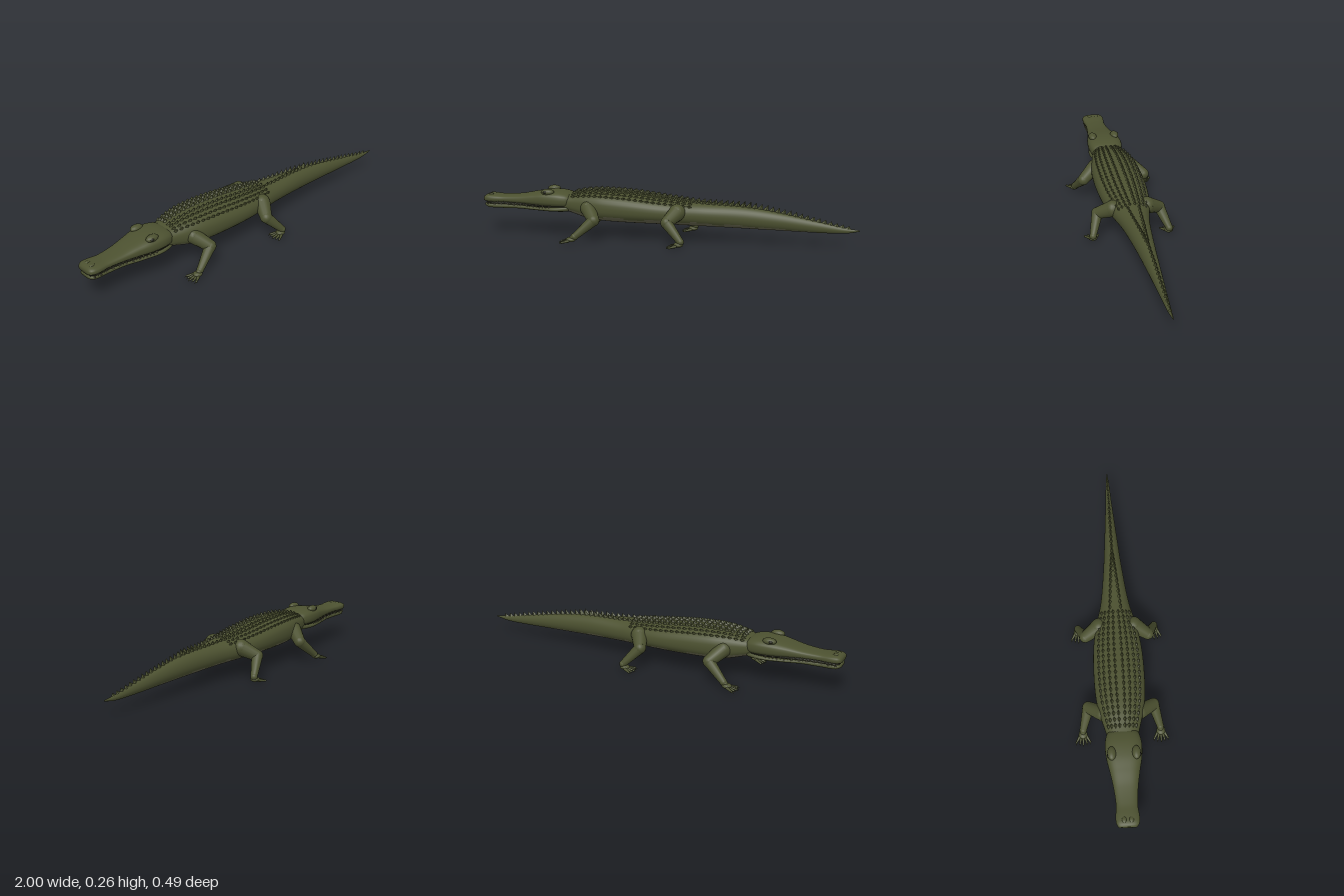
import * as THREE from 'three';
import { mergeGeometries } from 'three/addons/utils/BufferGeometryUtils.js';

const mat = (name, color) => {
  const m = new THREE.MeshStandardMaterial({ color });
  m.name = name;
  return m;
};

// Smooth interpolation through sections [x, bottom, top, halfWidth]
function sample(sections, x) {
  let i = 0;
  while (i < sections.length - 2 && x > sections[i + 1][0]) i++;
  const at = (k) => sections[Math.min(Math.max(k, 0), sections.length - 1)];
  const a = at(i), b = at(i + 1), p = at(i - 1), n = at(i + 2);
  const span = b[0] - a[0], t = Math.min(Math.max((x - a[0]) / span, 0), 1);
  const [, bottom, top, width] = a.map((v, k) => {
    const m0 = (b[k] - p[k]) / (b[0] - p[0]) * span;
    const m1 = (n[k] - a[k]) / (n[0] - a[0]) * span;
    const t2 = t * t, t3 = t2 * t;
    return (2 * t3 - 3 * t2 + 1) * v + (t3 - 2 * t2 + t) * m0 + (3 * t2 - 2 * t3) * b[k] + (t3 - t2) * m1;
  });
  return { bottom, top, width };
}

// Lofted skin along x; faces where under(x, angle) holds take the second material
function loft(sections, steps, sides, power, under = () => false) {
  const pos = [], main = [], second = [];
  const x0 = sections[0][0], x1 = sections[sections.length - 1][0];
  const pw = (v, p) => Math.sign(v) * Math.abs(v) ** p;
  for (let i = 0; i <= steps; i++) {
    const x = x0 + (x1 - x0) * i / steps, s = sample(sections, x), p = power(x);
    for (let j = 0; j < sides; j++) {
      const a = j / sides * Math.PI * 2;
      pos.push(x, (s.top + s.bottom) / 2 + (s.top - s.bottom) / 2 * pw(Math.sin(a), p), s.width * pw(Math.cos(a), p));
    }
  }
  for (let i = 0; i < steps; i++) for (let j = 0; j < sides; j++) {
    const k = (j + 1) % sides, a = i * sides + j, b = i * sides + k, c = a + sides, d = b + sides;
    const list = under(x0 + (x1 - x0) * (i + 0.5) / steps, (j + 0.5) / sides * Math.PI * 2) ? second : main;
    list.push(a, c, b, b, c, d);
  }
  // End caps
  [0, steps].forEach((ring, e) => {
    const s = sample(sections, e ? x1 : x0), centre = pos.length / 3;
    pos.push(e ? x1 : x0, (s.top + s.bottom) / 2, 0);
    for (let j = 0; j < sides; j++) {
      const a = ring * sides + j, b = ring * sides + (j + 1) % sides;
      main.push(...(e ? [centre, b, a] : [centre, a, b]));
    }
  });
  const g = new THREE.BufferGeometry();
  g.setAttribute('position', new THREE.Float32BufferAttribute(pos, 3));
  g.setIndex([...main, ...second]);
  g.addGroup(0, main.length, 0);
  g.addGroup(main.length, second.length, 1);
  g.computeVertexNormals();
  return g;
}

// Tapered limb between two points
function limb(a, b, ra, rb, sides = 14) {
  const A = new THREE.Vector3(...a), B = new THREE.Vector3(...b), dir = B.clone().sub(A);
  const g = new THREE.CylinderGeometry(rb, ra, dir.length(), sides, 1);
  g.applyQuaternion(new THREE.Quaternion().setFromUnitVectors(new THREE.Vector3(0, 1, 0), dir.normalize()));
  return g.translate(...A.add(B).multiplyScalar(0.5).toArray());
}
const ball = (c, rx, ry = rx, rz = rx) => new THREE.SphereGeometry(1, 16, 12).scale(rx, ry, rz).translate(...c);

const BODY = [
  [-0.57, 0.14, 0.222, 0.07], [-0.5, 0.122, 0.232, 0.088], [-0.42, 0.1, 0.246, 0.11], [-0.33, 0.09, 0.25, 0.126],
  [-0.2, 0.086, 0.245, 0.131], [-0.05, 0.085, 0.23, 0.125], [0.08, 0.083, 0.216, 0.104], [0.2, 0.08, 0.205, 0.075],
  [0.4, 0.076, 0.192, 0.05], [0.6, 0.073, 0.164, 0.033], [0.8, 0.07, 0.126, 0.018], [0.93, 0.073, 0.1, 0.009], [1, 0.086, 0.092, 0.002],
];
const UPPER_JAW = [
  [-1, 0.17, 0.197, 0.044], [-0.985, 0.165, 0.206, 0.056], [-0.95, 0.163, 0.207, 0.06], [-0.89, 0.164, 0.204, 0.054],
  [-0.8, 0.162, 0.211, 0.062], [-0.72, 0.157, 0.226, 0.076], [-0.65, 0.152, 0.238, 0.09],
  [-0.58, 0.15, 0.24, 0.093], [-0.53, 0.152, 0.231, 0.083], [-0.51, 0.16, 0.22, 0.07],
];
const LOWER_JAW = [
  [-0.995, 0.143, 0.16, 0.036], [-0.975, 0.134, 0.163, 0.05], [-0.89, 0.132, 0.163, 0.05], [-0.8, 0.134, 0.162, 0.057],
  [-0.7, 0.132, 0.158, 0.075], [-0.6, 0.13, 0.162, 0.09], [-0.53, 0.131, 0.17, 0.08], [-0.51, 0.14, 0.17, 0.068],
];

export function createModel() {
  const model = new THREE.Group();
  const hide = mat('olive hide', 0x4c5130), belly = mat('pale belly', 0x62614a);
  const dark = mat('dark eye', 0x1c1d12);
  const add = (name, geo, material, parent = model) => {
    const m = new THREE.Mesh(Array.isArray(geo) ? mergeGeometries(geo) : geo, material);
    m.name = name;
    parent.add(m);
  };

  // Body and tail with pale underside
  const bodyPower = (x) => THREE.MathUtils.clamp(0.86 + (x + 0.1) * 0.25, 0.8, 1.1);
  const under = (x, a) => x < 0.75 && -Math.sin(a) > 0.52 + Math.max(0, x - 0.05) * 0.45 + 0.05 * Math.sin(x * 30);
  add('body and tail', loft(BODY, 100, 40, bodyPower, under), [hide, belly]);

  // Head
  add('upper jaw', loft(UPPER_JAW, 50, 32, () => 0.72), hide);
  add('lower jaw', loft(LOWER_JAW, 50, 32, () => 0.75, (x, a) => Math.sin(a) < -0.75), [hide, belly]);
  add('mouth', loft(LOWER_JAW.map(([x, , , w]) => [x + 0.006, 0.148, 0.172, w * 0.9]), 20, 20, () => 0.8), dark);
  const teeth = [], brows = [], eyes = [], nostrils = [];
  for (const s of [1, -1]) {
    for (let i = 0; i < 20; i++) {
      const x = -0.975 + i * 0.0185, u = sample(UPPER_JAW, x);
      const tooth = new THREE.ConeGeometry(0.005, 0.018, 6);
      if (i % 2) tooth.rotateX(Math.PI);
      teeth.push(tooth.translate(x, u.bottom + (i % 2 ? 0.002 : 0), s * u.width * 0.88));
    }
    brows.push(ball([-0.635, 0.235, s * 0.062], 0.036, 0.018, 0.022));
    eyes.push(ball([-0.645, 0.236, s * 0.077], 0.012, 0.009, 0.009));
    nostrils.push(ball([-0.965, 0.204, s * 0.018], 0.016, 0.007, 0.012));
  }
  add('teeth', teeth, belly);
  add('brows', brows, hide);
  add('eyes', eyes, dark);
  add('nostrils', nostrils, hide);

  // Keeled back plates following the curve of the back
  const scutes = [];
  const plate = (x, z, r, h, lean = 0) => {
    const s = sample(BODY, x), p = bodyPower(x), q = Math.min(Math.abs(z) / s.width, 0.97);
    const y = (s.top + s.bottom) / 2 + (s.top - s.bottom) / 2 * (1 - q ** (2 / p)) ** (p / 2);
    const g = new THREE.ConeGeometry(r, h, 4).translate(0, h / 2 - 0.003, 0).scale(1.3, 1, 0.7);
    g.rotateZ(-lean).rotateX(Math.asin(q) * Math.sign(z) * 0.7);
    scutes.push(g.translate(x, y, z));
  };
  for (let i = 0; i < 21; i++) {
    const x = -0.49 + i * 0.031, w = sample(BODY, x).width;
    [0.15, 0.38, 0.6, 0.78].forEach((f, r) => {
      for (const s of [1, -1]) plate(x, s * w * f, 0.013, r < 2 ? 0.018 : 0.014, 0.2);
    });
  }
  // Twin tail crests that merge into one
  for (let i = 0; i < 27; i++) {
    const x = 0.16 + i * 0.03, gap = Math.max(0, 0.028 * (1 - (x - 0.16) / 0.34));
    const h = x < 0.45 ? 0.02 + (x - 0.16) * 0.045 : 0.033 - (x - 0.45) * 0.03;
    for (const s of gap > 0.002 ? [1, -1] : [0]) plate(x, s * gap, 0.0125, h, 0.35);
  }
  add('back scutes', scutes.map((g) => g.toNonIndexed()).map((g) => (g.computeVertexNormals(), g)), hide);

  // Legs: hip, knee, ankle, foot centre
  const legs = {
    frontLeg: { hip: [-0.405, 0.165, 0.095], knee: [-0.355, 0.118, 0.168], ankle: [-0.45, 0.034, 0.2], foot: -0.468, r: 0.04 },
    hindLeg: { hip: [0.07, 0.162, 0.09], knee: [0.03, 0.122, 0.165], ankle: [0.11, 0.034, 0.203], foot: 0.1, r: 0.044 },
  };
  for (const [name, l] of Object.entries(legs)) for (const s of [1, -1]) {
    const group = new THREE.Group(), side = ([x, y, z]) => [x, y, z * s];
    group.name = (s > 0 ? 'near ' : 'far ') + name;
    const foot = [l.foot, 0.019, 0.202 * s];
    add('leg', [
      ball(side(l.hip), l.r), limb(side(l.hip), side(l.knee), l.r, 0.031), ball(side(l.knee), 0.031),
      limb(side(l.knee), side(l.ankle), 0.03, 0.018), ball(side(l.ankle), 0.019),
      limb(side(l.ankle), foot, 0.018, 0.014), ball(foot, 0.026, 0.013, 0.023),
    ], hide, group);
    // Spread toes with claws
    const toes = [], claws = [];
    for (let i = -2; i <= 2; i++) {
      const reach = 0.05 - Math.abs(i) * 0.005;
      const a = [l.foot - 0.008, 0.014, foot[2] + i * 0.008];
      const b = [l.foot - reach, 0.0075, foot[2] + i * 0.0175];
      const c = [b[0] - 0.014, 0.003, b[2] + i * 0.0015];
      toes.push(limb(a, b, 0.0085, 0.005, 8), ball(b, 0.0058));
      claws.push(limb(b, c, 0.0045, 0.0006, 6));
    }
    add('toes', toes, hide, group);
    add('claws', claws, hide, group);
    model.add(group);
  }
  return model;
}
